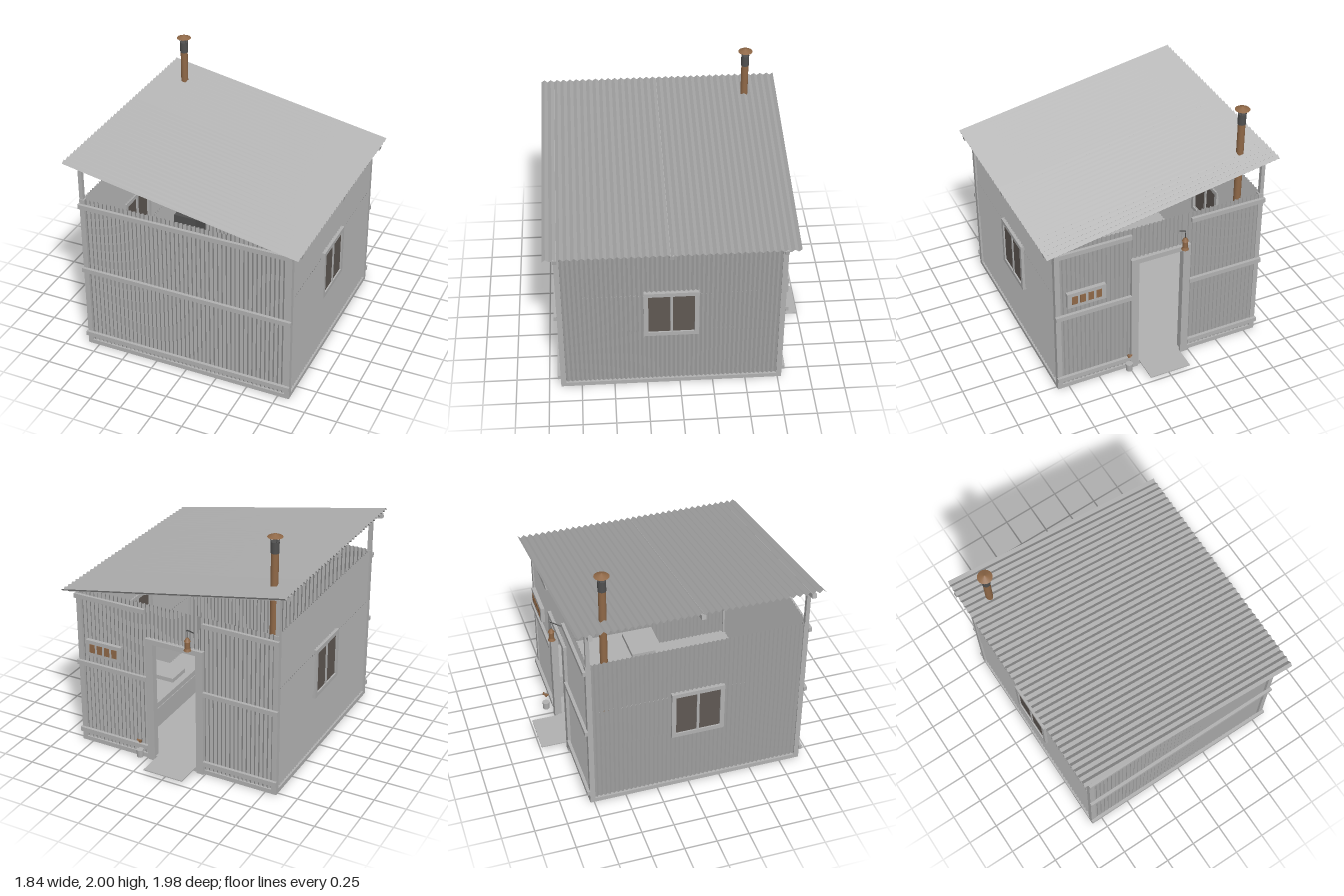
import * as THREE from 'three';

const mat = (name, color, extra = {}) => Object.assign(new THREE.MeshStandardMaterial({ color, ...extra }), { name });

export function createModel() {
  const root = new THREE.Group();
  root.name = 'shack';
  const sheetMetal = mat('sheet metal', 0xa8a8a8, { side: THREE.DoubleSide });
  const timber = mat('pale timber', 0xb0b0b0);
  const rust = mat('rusty brown', 0x8f6847);
  const darkSteel = mat('dark steel', 0x505050);
  const glass = mat('smoky glass', 0x5f5853);

  const add = (name, geo, m, x, y, z, parent = root) => {
    const mesh = new THREE.Mesh(geo, m);
    mesh.name = name;
    mesh.position.set(x, y, z);
    parent.add(mesh);
    return mesh;
  };
  // box given by its min and max corners
  const box = (name, m, x0, x1, y0, y1, z0, z1, parent = root) =>
    add(name, new THREE.BoxGeometry(x1 - x0, y1 - y0, z1 - z0), m, (x0 + x1) / 2, (y0 + y1) / 2, (z0 + z1) / 2, parent);
  const cyl = (name, m, rTop, rBottom, y0, y1, x, z, sides = 16, parent = root) =>
    add(name, new THREE.CylinderGeometry(rTop, rBottom, y1 - y0, sides), m, x, (y0 + y1) / 2, z, parent);
  // thin round bar between two points
  const rod = (name, m, a, b, r, parent = root) => {
    const p = new THREE.Vector3(...a), q = new THREE.Vector3(...b);
    const mesh = add(name, new THREE.CylinderGeometry(r, r, p.distanceTo(q), 6), m, 0, 0, 0, parent);
    mesh.position.copy(p).add(q).multiplyScalar(0.5);
    mesh.quaternion.setFromUnitVectors(new THREE.Vector3(0, 1, 0), q.sub(p).normalize());
    return mesh;
  };
  // folded sheet in the XY plane, with upright zigzag ridges
  const corrugated = (w, h, period, amp) => {
    const n = Math.max(2, Math.round((w / period) * 2));
    const geo = new THREE.PlaneGeometry(w, h, n, 1);
    const p = geo.attributes.position;
    for (let i = 0; i < p.count; i++) p.setZ(i, (i % (n + 1)) % 2 ? amp : -amp);
    const flat = geo.toNonIndexed();
    flat.computeVertexNormals();
    return flat;
  };
  const PERIOD = 0.034, AMP = 0.008;

  // floor slab
  box('floor', timber, -0.84, 0.84, 0, 0.035, -0.78, 0.91);

  // corner posts, taller on the high side of the roof
  for (const [z0, z1] of [[0.87, 0.91], [-0.78, -0.74]]) {
    box('lowCornerPost', timber, 0.8, 0.84, 0, 1.31, z0, z1);
    box('highCornerPost', timber, -0.84, -0.8, 0, 1.31, z0, z1);
    box('highPostExtension', timber, -0.84, -0.81, 1.31, 1.59, z0 + 0.005, z1 - 0.005);
  }

  // front and back walls
  const faceWall = (name, x0, x1, y0, y1, z) =>
    add(name, corrugated(x1 - x0, y1 - y0, PERIOD, AMP), sheetMetal, (x0 + x1) / 2, (y0 + y1) / 2, z);
  faceWall('frontWall', -0.8, 0.8, 0.035, 1.31, 0.895);
  faceWall('backWallLeft', 0.2, 0.8, 0.035, 1.31, -0.765);
  faceWall('backWallRight', -0.8, -0.2, 0.035, 1.31, -0.765);
  faceWall('backWallOverDoor', -0.2, 0.2, 1.02, 1.31, -0.765);

  // horizontal battens, broken by the doorway at the back
  for (const y of [0.1, 0.695, 1.257]) {
    box('frontBatten', timber, -0.845, 0.845, y - 0.018, y + 0.018, 0.908, 0.932);
    for (const s of [-1, 1]) {
      const xs = [0.24 * s, 0.845 * s].sort((a, b) => a - b);
      box('backBatten', timber, xs[0], xs[1], y - 0.018, y + 0.018, -0.802, -0.778);
    }
  }

  // side walls in overlapping courses, with a window on each side
  for (const s of [-1, 1]) {
    const side = new THREE.Group();
    side.name = s > 0 ? 'leftWall' : 'rightWall';
    root.add(side);
    const course = (z0, z1, y0, y1, out) => {
      const m = add('wallSheet', corrugated(z1 - z0, y1 - y0, PERIOD, AMP), sheetMetal,
        s * (0.822 + out), (y0 + y1) / 2, (z0 + z1) / 2, side);
      m.rotation.y = s * Math.PI / 2;
    };
    course(-0.74, 0.87, 0.035, 0.53, 0);
    course(-0.74, 0.87, 0.865, 1.31, 0);
    course(0.24, 0.87, 0.525, 0.87, 0.006);
    course(-0.74, -0.11, 0.525, 0.87, 0.006);
    const bar = (name, m, z0, z1, y0, y1, a, b) =>
      box(name, m, Math.min(s * a, s * b), Math.max(s * a, s * b), y0, y1, z0, z1, side);
    bar('windowFrameTop', timber, -0.14, 0.27, 0.867, 0.9, 0.81, 0.85);
    bar('windowFrameBottom', timber, -0.14, 0.27, 0.49, 0.523, 0.81, 0.85);
    bar('windowFrameFront', timber, 0.237, 0.27, 0.523, 0.867, 0.81, 0.85);
    bar('windowFrameBack', timber, -0.14, -0.107, 0.523, 0.867, 0.81, 0.85);
    bar('windowMullion', timber, 0.055, 0.075, 0.523, 0.867, 0.82, 0.846);
    bar('windowGlass', glass, -0.107, 0.237, 0.523, 0.867, 0.832, 0.838);
  }

  // door frame and doorstep
  for (const s of [-1, 1]) box('doorJamb', timber, s * 0.21 - 0.03, s * 0.21 + 0.03, 0.0, 1.04, -0.795, -0.74);
  box('doorHeader', timber, -0.18, 0.18, 1.0, 1.04, -0.795, -0.74);
  box('doorstep', timber, -0.165, 0.165, 0.03, 0.038, -0.99, -0.78);

  // sloping roof on three rafters
  const roof = new THREE.Group();
  roof.name = 'roof';
  roof.position.set(0, 1.475, 0);
  roof.rotation.z = -Math.atan2(0.338, 1.83);
  root.add(roof);
  const roofGeo = corrugated(1.845, 1.86, 0.0505, 0.011);
  roofGeo.rotateX(-Math.PI / 2).rotateY(Math.PI / 2);
  add('roofSheet', roofGeo, sheetMetal, 0, 0, 0.0625, roof);
  for (const z of [0.895, 0.065, -0.755])
    box('rafter', timber, -0.928, 0.928, -0.045, -0.01, z - 0.016, z + 0.016, roof);

  // stove with its chimney
  const cx = -0.715, cz = -0.61;
  box('stove', darkSteel, cx - 0.08, cx + 0.12, 0.035, 0.36, cz - 0.1, cz + 0.1);
  cyl('chimneyPipe', rust, 0.028, 0.028, 0.36, 1.86, cx, cz);
  cyl('chimneyCollar', darkSteel, 0.031, 0.031, 1.855, 1.94, cx, cz);
  for (let i = 0; i < 4; i++) {
    const c = Math.cos(i * Math.PI / 2 + Math.PI / 4), n = Math.sin(i * Math.PI / 2 + Math.PI / 4);
    rod('capStrut', darkSteel, [cx + c * 0.027, 1.935, cz + n * 0.027], [cx + c * 0.04, 1.982, cz + n * 0.04], 0.003);
  }
  cyl('chimneyCap', rust, 0.004, 0.056, 1.976, 2.0, cx, cz, 20);

  // bed with a pillow
  box('bedBase', timber, 0.38, 0.8, 0.035, 0.2, -0.72, 0.22);
  box('mattress', timber, 0.385, 0.8, 0.2, 0.245, -0.715, 0.215);
  box('pillow', timber, 0.44, 0.74, 0.245, 0.28, -0.06, 0.14);

  // notice board with four small panels
  box('noticeBoard', timber, 0.45, 0.755, 0.78, 0.91, -0.806, -0.775);
  for (let i = 0; i < 4; i++) {
    const x = 0.6025 + (i - 1.5) * 0.064;
    box('boardPanel', rust, x - 0.022, x + 0.022, 0.81, 0.88, -0.81, -0.805);
  }

  // hanging lantern beside the door
  const lx = -0.155, lz = -0.86;
  rod('lanternBracket', darkSteel, [lx, 1.17, -0.77], [lx, 1.235, lz], 0.004);
  rod('lanternWire', darkSteel, [lx, 1.235, lz], [lx, 1.16, lz], 0.003);
  cyl('lanternBase', rust, 0.02, 0.028, 1.07, 1.09, lx, lz, 12);
  cyl('lanternBody', rust, 0.019, 0.019, 1.09, 1.145, lx, lz, 12);
  cyl('lanternTop', rust, 0.01, 0.025, 1.145, 1.172, lx, lz, 12);

  // tap over a small bucket
  cyl('bucket', timber, 0.028, 0.025, 0.04, 0.102, 0.28, -0.845, 14);
  rod('tapPipe', rust, [0.28, 0.19, -0.865], [0.28, 0.168, -0.825], 0.009);
  rod('tapHandle', rust, [0.262, 0.19, -0.855], [0.298, 0.19, -0.855], 0.006);
  rod('tapSpout', rust, [0.28, 0.18, -0.835], [0.28, 0.16, -0.842], 0.009);

  return root;
}
